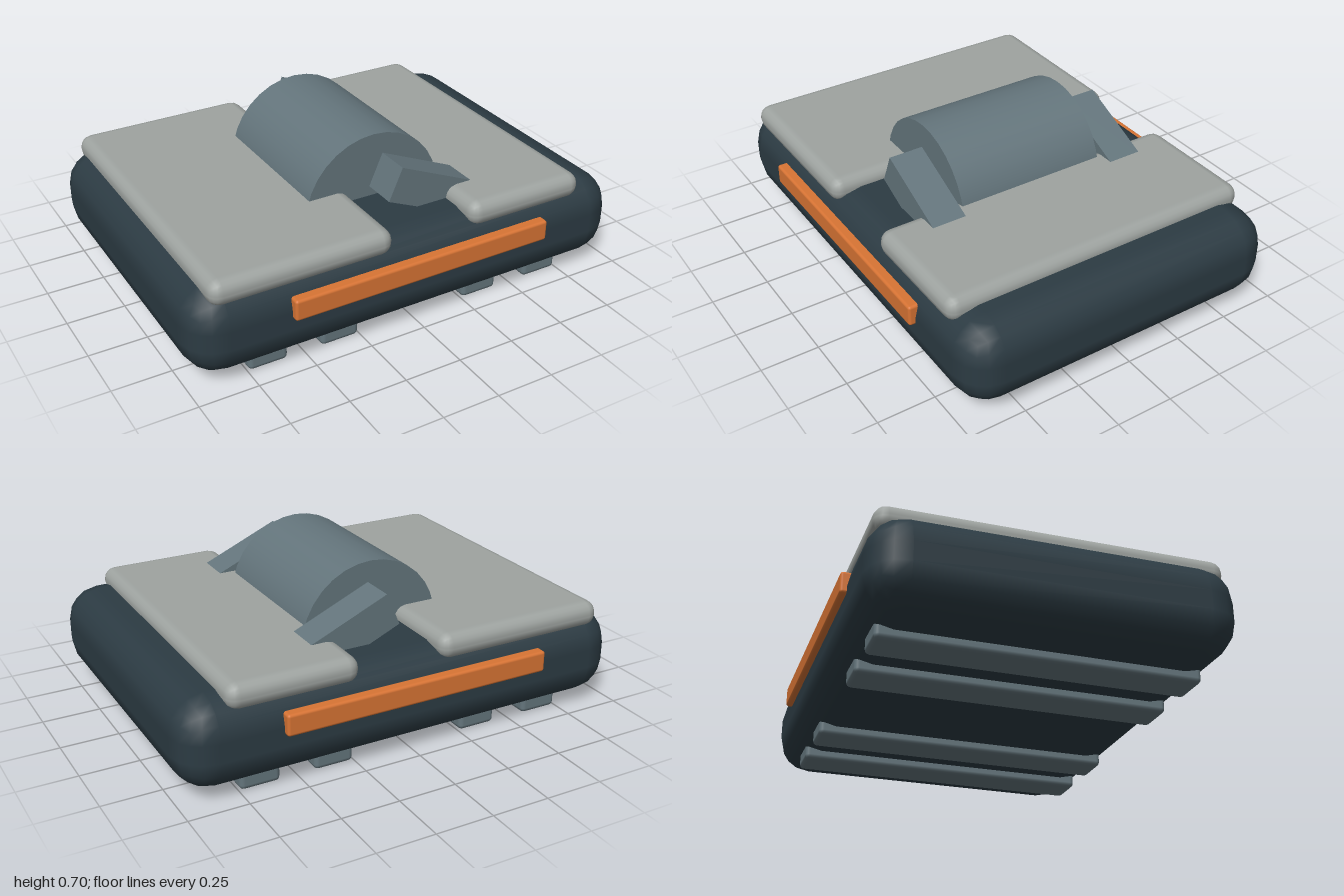
import * as THREE from 'three';
import { RoundedBoxGeometry } from 'three/addons/geometries/RoundedBoxGeometry.js';

function material(name, color) {
  const m = new THREE.MeshStandardMaterial({ color });
  m.name = name;
  return m;
}

export function createModel() {
  const group = new THREE.Group();
  const dark = material('dark slate', 0x2c3b43);
  const pale = material('pale grey', 0x9ea3a0);
  const steel = material('steel grey', 0x64757c);
  const orange = material('orange', 0xd87434);

  function add(name, geometry, mat, x, y, z) {
    const mesh = new THREE.Mesh(geometry, mat);
    mesh.name = name;
    mesh.position.set(x, y, z);
    group.add(mesh);
    return mesh;
  }
  // Rounded block given by its extents on each axis
  function block(name, mat, [x0, x1], [y0, y1], [z0, z1], radius, segments = 2) {
    return add(name, new RoundedBoxGeometry(x1 - x0, y1 - y0, z1 - z0, segments, radius), mat,
      (x0 + x1) / 2, (y0 + y1) / 2, (z0 + z1) / 2);
  }

  // Main body
  block('body', dark, [-1, 1], [0.04, 0.42], [-0.735, 0.735], 0.15);

  // Top panels, the one on -x being wider
  block('widePanel', pale, [-0.91, -0.12], [0.36, 0.472], [-0.708, 0.708], 0.052);
  block('narrowPanel', pale, [0.245, 0.805], [0.36, 0.472], [-0.708, 0.708], 0.052);

  // Drum lying along z, half sunk into the body
  const drum = new THREE.CylinderGeometry(0.317, 0.317, 0.68, 32).rotateX(Math.PI / 2);
  add('drum', drum, steel, 0, 0.383, 0);

  // Tilted arms and side strips, mirrored front and back
  for (const s of [1, -1]) {
    const arm = add('arm', new THREE.BoxGeometry(0.4, 0.152, 0.152), steel, 0.18, 0.47, s * 0.44);
    arm.rotation.z = -0.41;
    add('sideStrip', new RoundedBoxGeometry(1.185, 0.092, 0.06, 2, 0.012), orange, 0, 0.288, s * 0.732);
  }

  // Runners under the body
  for (const x of [-0.66, -0.34, 0.34, 0.66]) {
    block('runner', steel, [x - 0.085, x + 0.085], [0, 0.08], [-0.657, 0.657], 0.02);
  }
  return group;
}
